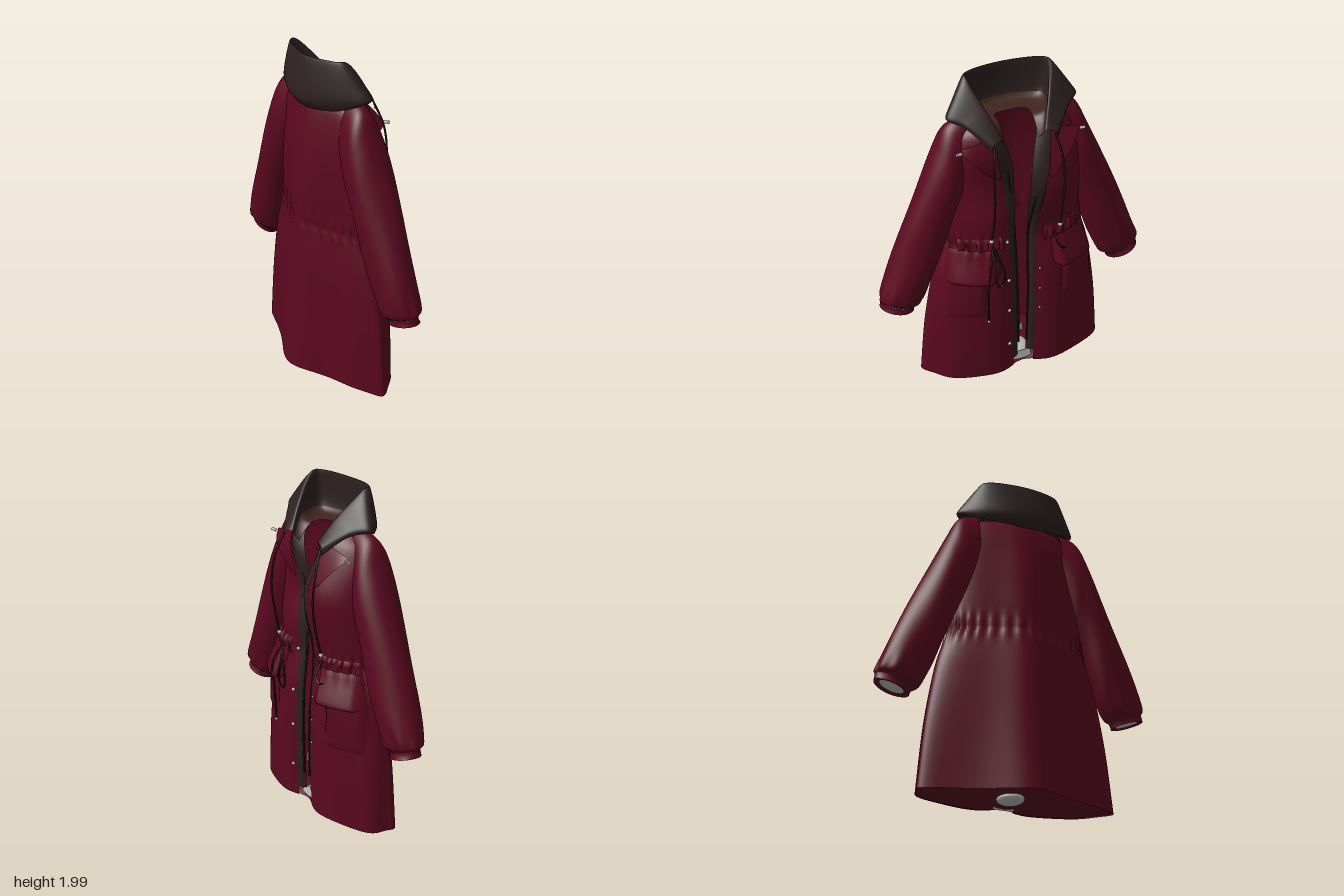
import * as THREE from 'three';
import { mergeVertices } from 'three/addons/utils/BufferGeometryUtils.js';

const fabric = (name, color) => {
  const m = new THREE.MeshStandardMaterial({ color, side: THREE.DoubleSide });
  m.name = name;
  return m;
};
const burgundy = fabric('burgundy cloth', 0x5b0820);
const darkCloth = fabric('dark brown cloth', 0x2d2020);
const lining = fabric('brown lining', 0x40241f);
const cordMat = fabric('dark cord', 0x1e1616);
const metal = fabric('light grey', 0xbcbcbc);

// Smooth interpolation of a table of rows at fractional row s
function rowAt(table, s) {
  const n = table.length - 1, i = Math.min(Math.floor(s), n - 1), f = s - i;
  const at = (k) => table[Math.max(0, Math.min(n, k))];
  return at(i).map((b, c) => {
    const a = at(i - 1)[c], d = at(i + 1)[c], e = at(i + 2)[c];
    return b + 0.5 * f * (d - a + f * (2 * a - 5 * b + 4 * d - e + f * (3 * (b - d) + e - a)));
  });
}

// Surface from fn(u, v) -> [x, y, z], welded so the normals are smooth
function surface(name, mat, nu, nv, fn) {
  const pos = [], idx = [];
  for (let j = 0; j <= nv; j++) for (let i = 0; i <= nu; i++) pos.push(...fn(i / nu, j / nv));
  for (let j = 0; j < nv; j++) for (let i = 0; i < nu; i++) {
    const a = j * (nu + 1) + i, b = a + nu + 1;
    idx.push(a, a + 1, b, b, a + 1, b + 1);
  }
  let geo = new THREE.BufferGeometry();
  geo.setAttribute('position', new THREE.Float32BufferAttribute(pos, 3));
  geo.setIndex(idx);
  geo = mergeVertices(geo, 1e-5);
  geo.computeVertexNormals();
  const mesh = new THREE.Mesh(geo, mat);
  mesh.name = name;
  return mesh;
}

// Body rows: y, half width, front depth, back depth, half width of front opening
const BODY = [
  [0.01, 0.595, 0.248, 0.283, 0.068], [0.4, 0.56, 0.25, 0.253, 0.075], [0.75, 0.5, 0.24, 0.232, 0.08],
  [0.98, 0.435, 0.21, 0.208, 0.085], [1.2, 0.42, 0.232, 0.202, 0.095], [1.4, 0.41, 0.232, 0.19, 0.115],
  [1.56, 0.395, 0.21, 0.168, 0.15], [1.68, 0.35, 0.175, 0.142, 0.18], [1.74, 0.28, 0.14, 0.12, 0.17],
];
const POWER = 1.95;
const bump = (y, c, w) => Math.exp(-(((y - c) / w) ** 2));
const power = (v) => Math.sign(v) * Math.abs(v) ** (2 / POWER);
function bodyRow(y) {
  let a = 0, b = BODY.length - 1;
  for (let k = 0; k < 24; k++) {
    const m = (a + b) / 2;
    if (rowAt(BODY, m)[0] < y) a = m; else b = m;
  }
  return rowAt(BODY, a);
}
// Point on the body; t = 0 is front centre, +-PI is back centre.
// The front is hollowed at the opening and the back bulges in the middle.
function bodyPoint(t, row, inset = 0) {
  const [y, w, zf, zb] = row;
  const gather = 0.014 * Math.sin(34 * t) * bump(y, 1.0, 0.07) - 0.012 * bump(y, 0.99, 0.02);
  const folds = 0.03 * Math.sin(7 * t + 0.6) * Math.max(0, 1 - y / 0.9) * Math.sin(t) ** 2;
  const k = 1 + gather * 2 + folds - inset * 3;
  const s = power(Math.sin(t)), c = power(Math.cos(t));
  const flare = 1 + bump(y, 1.37, 0.2) * (t > 0 ? 0.24 : -0.27);
  const hollow = 1 - 0.27 * bump(s * w, 0, 0.12);
  const waist = 1 - 0.42 * (1 - 0.36 * y) * (1 - bump(s, 0, 0.38));
  return [s * w * k, y, c * k * (c > 0 ? zf * flare * hollow : zb * waist)];
}
const edgeAngle = (row, x = row[4]) => Math.asin(Math.min(0.99, Math.abs(x) / row[1]) ** (POWER / 2));
function frontPoint(x, y, off) {
  const row = bodyRow(y);
  const p = bodyPoint(Math.sign(x) * edgeAngle(row, Math.min(Math.abs(x), row[1] * 0.95)), row);
  return [p[0], y, p[2] + off];
}

// Sleeve rows: outer x, y, inner x, y, half depth, depth centre
const SLEEVE = [
  [0.27, 1.78, 0.27, 1.32, 0.09, -0.01], [0.385, 1.73, 0.34, 1.2, 0.125, -0.01], [0.465, 1.59, 0.38, 1.12, 0.135, -0.005],
  [0.58, 1.33, 0.425, 1.01, 0.135, 0], [0.7, 1.05, 0.475, 0.87, 0.13, 0.005], [0.79, 0.83, 0.53, 0.73, 0.12, 0.01],
  [0.84, 0.69, 0.585, 0.62, 0.105, 0.015], [0.835, 0.655, 0.63, 0.58, 0.07, 0.02], [0.843, 0.615, 0.645, 0.552, 0.075, 0.025],
];
function sleevePoint(side, s, a, r = 1) {
  const [ox, oy, ix, iy, d, zc] = rowAt(SLEEVE, s);
  const k = r * (1 + 0.04 * Math.sin(9 * a) * bump(s, 6.1, 0.7) + 0.02 * Math.sin(3 * a + s * 2));
  const c = Math.cos(a) * k;
  return [side * ((ox + ix) / 2 + (c * (ox - ix)) / 2), (oy + iy) / 2 + (c * (oy - iy)) / 2, zc + Math.sin(a) * d * k];
}

// Hood sections, front to back centre: base edge, bulge, rim, foot of inner wall, neck edge
const HOOD = [
  [0.19, 1.64, 0.2, 0.185, 1.685, 0.2, 0.13, 1.7, 0.185, 0.12, 1.67, 0.17, 0.1, 1.64, 0.15],
  [0.295, 1.75, 0.1, 0.3, 1.79, 0.09, 0.19, 1.84, 0.095, 0.165, 1.77, 0.09, 0.1, 1.72, 0.09],
  [0.37, 1.775, 0, 0.378, 1.815, 0, 0.245, 1.98, -0.03, 0.22, 1.78, -0.02, 0.1, 1.74, 0.04],
  [0.24, 1.72, -0.11, 0.245, 1.8, -0.13, 0.215, 1.995, -0.1, 0.19, 1.78, -0.1, 0.09, 1.74, -0.02],
  [0, 1.69, -0.16, 0, 1.77, -0.2, 0, 1.985, -0.15, 0, 1.78, -0.135, 0, 1.74, -0.03],
];
const hoodRows = [...HOOD, ...HOOD.slice(0, 4).reverse().map((r) => r.map((v, i) => (i % 3 ? v : -v)))];
const hoodPoint = (u, s) => {
  const r = rowAt(hoodRows, u * 8);
  return rowAt([0, 3, 6, 9, 12].map((i) => r.slice(i, i + 3)), s);
};

function cord(name, points, radius = 0.006, mat = cordMat) {
  const curve = new THREE.CatmullRomCurve3(points.map((p) => new THREE.Vector3(...p)));
  const mesh = new THREE.Mesh(new THREE.TubeGeometry(curve, 32, radius, 6), mat);
  mesh.name = name;
  return mesh;
}
function stud(name, p, r = 0.01) {
  const mesh = new THREE.Mesh(new THREE.SphereGeometry(r, 16, 12), metal);
  mesh.position.set(...p);
  mesh.name = name;
  return mesh;
}

export function createModel() {
  const model = new THREE.Group();
  const coat = new THREE.Group();
  coat.name = 'coat';
  coat.rotation.y = Math.PI / 2;
  model.add(coat);

  // Open-fronted body
  coat.add(surface('body', burgundy, 160, 90, (u, v) => {
    const row = rowAt(BODY, v * (BODY.length - 1)), t0 = edgeAngle(row);
    return bodyPoint(t0 + u * (2 * Math.PI - 2 * t0) - (u > 0.5 ? 2 * Math.PI : 0), row);
  }));

  // Domed underside with a pale patch near the opening
  coat.add(surface('hemFloor', burgundy, 96, 10, (u, v) => {
    const p = bodyPoint(u * 2 * Math.PI - Math.PI, BODY[0]);
    return [p[0] * v * 0.99, 0.015 + 0.045 * (1 - v * v), p[2] * v * 0.99];
  }));
  const patch = stud('hemPatch', [0, 0.048, 0.07], 1);
  patch.scale.set(0.08, 0.032, 0.09);
  coat.add(patch);
  coat.add(surface('hemPatchFront', metal, 6, 2, (u, v) => [(u - 0.5) * 0.13, 0.01 + v * 0.07, 0.172 - v * 0.01]));

  for (const side of [-1, 1]) {
    const tag = side < 0 ? 'right' : 'left';
    const part = (name) => tag + name;

    // Sleeve, cuff with a turned-in rim, and the pale inside of the cuff
    coat.add(surface(part('Sleeve'), burgundy, 56, 60, (u, v) => sleevePoint(side, v * 7, u * 2 * Math.PI)));
    coat.add(surface(part('Cuff'), burgundy, 56, 6, (u, v) => sleevePoint(side, 7 + v, u * 2 * Math.PI, 1.03)));
    coat.add(surface(part('CuffRim'), burgundy, 56, 3, (u, v) => sleevePoint(side, 8 - 0.3 * v, u * 2 * Math.PI, 1.03 - 0.33 * v)));
    coat.add(surface(part('CuffInside'), metal, 32, 3, (u, v) => sleevePoint(side, 7.7, u * 2 * Math.PI, v * 0.72)));

    // Dark front facing: visible strip and inner layer
    const y0 = side < 0 ? 0.07 : 0.1;
    coat.add(surface(part('FrontFacing'), darkCloth, 4, 60, (u, v) => {
      const y = y0 + v * (1.72 - y0), row = bodyRow(y);
      const p = bodyPoint(side * edgeAngle(row), row, 0.003);
      return [p[0] - side * u * (0.043 + 0.042 * bump(y, 1.5, 0.33)), y, p[2] - 0.03 * u * u];
    }));
    coat.add(surface(part('InnerFacing'), darkCloth, 12, 60, (u, v) => {
      const row = bodyRow(y0 + v * (1.72 - y0)), t0 = edgeAngle(row);
      return bodyPoint(side * (t0 + u * 0.45), row, 0.014);
    }));
    coat.add(cord(part('Zip'), [0.18, 0.6, 1, 1.3, 1.5].map((y) => {
      const row = bodyRow(y), p = bodyPoint(side * edgeAngle(row), row);
      return [p[0] - side * 0.045, y, p[2] - 0.018];
    })));

    // Shoulder storm flap with a metal tip
    coat.add(surface(part('StormFlap'), burgundy, 12, 16, (u, v) => {
      const top = [0.17 + 0.19 * u, 1.7 - 0.05 * u], low = [0.125 + 0.08 * u, 1.42 + 0.05 * u];
      const x = top[0] + (low[0] - top[0]) * v, y = top[1] + (low[1] - top[1]) * v;
      return frontPoint(side * x, y, 0.012 + 0.07 * u * u * (1 - v));
    }));
    const tip = frontPoint(side * 0.36, 1.64, 0.09);
    coat.add(cord(part('FlapTip'), [tip, [tip[0] + side * 0.03, tip[1] + 0.005, tip[2] + 0.01]], 0.01, metal));

    // Patch pocket and its overhanging flap
    coat.add(surface(part('Pocket'), burgundy, 14, 14, (u, v) => {
      const e = Math.min(1, 8 * Math.min(u, 1 - u), 8 * v);
      return frontPoint(side * (0.24 + 0.25 * u), 0.49 + 0.31 * v, -0.004 + e * (0.015 + 0.025 * v));
    }));
    coat.add(surface(part('PocketFlap'), burgundy, 16, 14, (u, v) => {
      const e = Math.min(1, 8 * Math.min(u, 1 - u));
      const w = v < 0.15 ? v / 0.15 : 1;
      const y = 0.775 + 0.2 * Math.max(0, (v - 0.15) / 0.85);
      const x = (0.19 + 0.3 * u) * (1 - 0.12 * v);
      return frontPoint(side * x, y, 0.005 + e * w * (0.07 - 0.045 * v));
    }));

    // Gathered frill above the flap
    coat.add(surface(part('WaistFrill'), burgundy, 60, 8, (u, v) =>
      frontPoint(side * (0.13 + 0.26 * u), 0.94 + 0.1 * v, (0.018 + 0.007 * Math.sin(u * 50)) * Math.sin(Math.PI * v))));

    // Hood drawcord with its end stop, and the hanging waist cords
    coat.add(cord(part('HoodCord'), [[side * 0.18, 1.68, 0.2], [side * 0.205, 1.55, 0.25], [side * 0.21, 1.38, 0.275],
      [side * 0.21, 1.2, 0.255], [side * 0.215, 1.07, 0.225]]));
    coat.add(stud(part('HoodCordEnd'), [side * 0.215, 1.06, 0.225], 0.013));
    if (side < 0) {
      coat.add(cord('waistCord', [[-0.2, 1.0, 0.21], [-0.24, 0.85, 0.265], [-0.245, 0.7, 0.25], [-0.245, 0.48, 0.24]]));
      coat.add(stud('waistCordEnd', [-0.245, 0.475, 0.24], 0.01));
      coat.add(cord('waistLoop', [[-0.2, 1.0, 0.21], [-0.16, 0.9, 0.24], [-0.14, 0.77, 0.24], [-0.165, 0.715, 0.24],
        [-0.195, 0.77, 0.25], [-0.17, 0.88, 0.25], [-0.2, 0.99, 0.21]]));
    } else {
      coat.add(cord('waistTie', [[0.19, 1.0, 0.21], [0.2, 0.93, 0.25], [0.24, 0.9, 0.255], [0.27, 0.91, 0.25]]));
    }

    // Snap fasteners along the front edge
    for (const y of side < 0 ? [0.22, 0.49, 0.72, 0.98] : [0.45, 0.6, 0.75]) {
      coat.add(stud(part('Snap'), frontPoint(side * 0.1, y, 0.002), side < 0 ? 0.011 : 0.007));
    }
  }
  coat.add(cord('zipPull', [[-0.005, 0.32, 0.17], [-0.005, 0.27, 0.17]], 0.008, metal));

  // Collapsed hood: dark shell and inner wall, brown slope down to the neck
  coat.add(surface('hood', darkCloth, 96, 30, (u, v) => hoodPoint(u, v * 3)));
  coat.add(surface('hoodLining', lining, 96, 10, (u, v) => hoodPoint(u, 3 + v)));
  return model;
}
